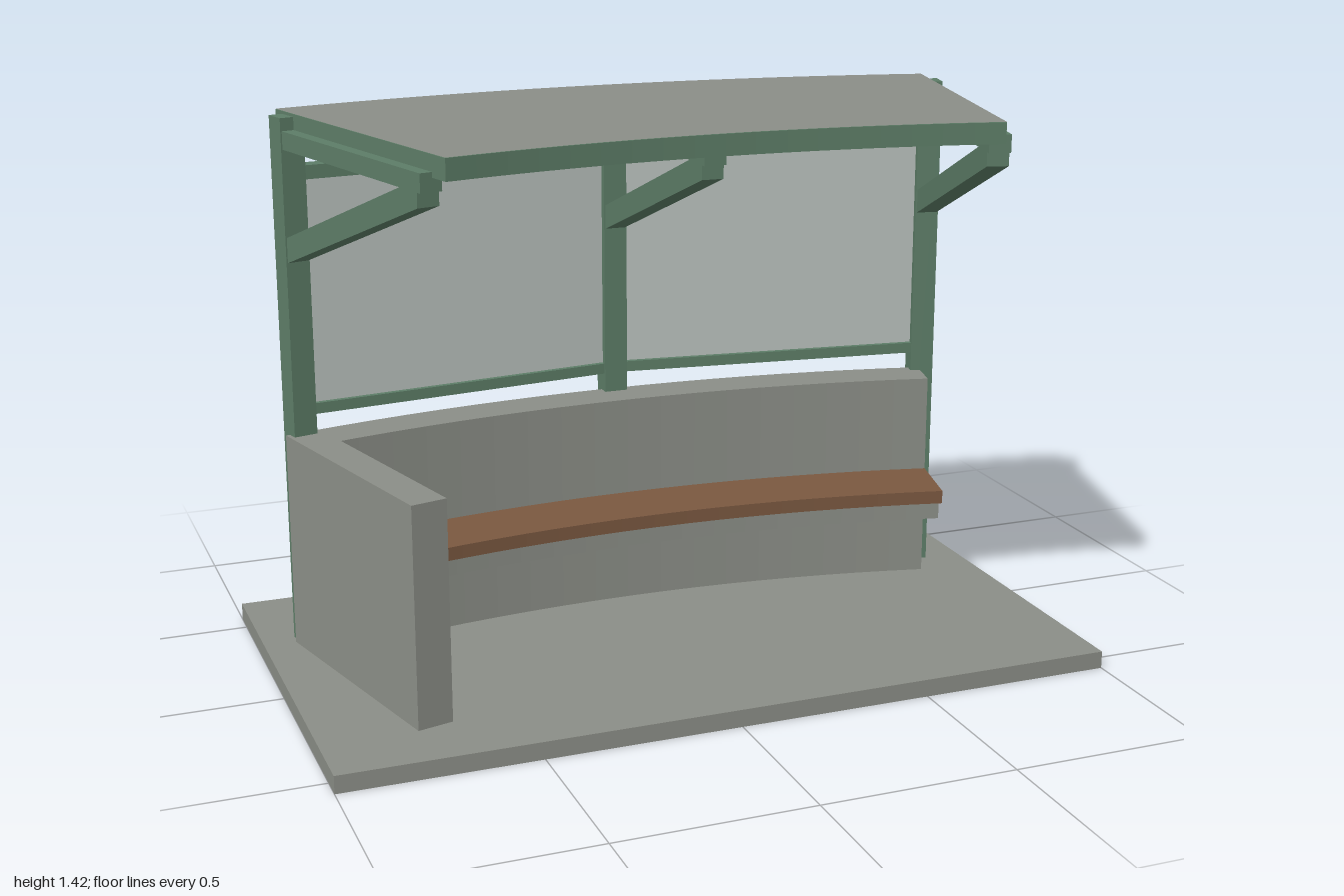
import * as THREE from 'three';

const CENTRE_Z = 3.31;   // centre of the plan arcs
const HALF = 0.24;       // half angle of the shelter
const POST_R = 3.672;
const BASE_TOP = 0.045;

const mat = (name, color) => {
  const m = new THREE.MeshStandardMaterial({ color });
  m.name = name;
  return m;
};

// Plan outline between two radii (shape y is -z)
function sectorShape(r0, r1, steps = 18) {
  const pts = [];
  const add = (r, a) => pts.push(new THREE.Vector2(r * Math.sin(a), r * Math.cos(a) - CENTRE_Z));
  for (let i = 0; i <= steps; i++) add(r0, -HALF + (2 * HALF * i) / steps);
  for (let i = steps; i >= 0; i--) add(r1, -HALF + (2 * HALF * i) / steps);
  return new THREE.Shape(pts);
}

export function createModel() {
  const model = new THREE.Group();
  model.name = 'shelter';
  const concrete = mat('concrete grey', 0x8b8e87);
  const green = mat('painted green', 0x5d7d67);
  const wood = mat('bench wood', 0x7a5840);
  const glass = mat('pale glass', 0xbac2be);

  const addMesh = (parent, name, geometry, material) => {
    const mesh = new THREE.Mesh(geometry, material);
    mesh.name = name;
    parent.add(mesh);
    return mesh;
  };

  // Curved slab from y0 to y1
  const sector = (name, r0, r1, y0, y1, material) => {
    const g = new THREE.ExtrudeGeometry(sectorShape(r0, r1), { depth: y1 - y0, bevelEnabled: false });
    g.rotateX(-Math.PI / 2).translate(0, y0, 0);
    return addMesh(model, name, g, material);
  };

  // Group turned to an angle about the arc centre; outward is local -z
  const station = (name, angle) => {
    const group = new THREE.Group();
    group.name = name;
    group.position.z = CENTRE_Z;
    group.rotation.y = -angle;
    model.add(group);
    return group;
  };

  // Box spanning radii r0..r1 and heights y0..y1 within a station
  const radialBox = (parent, name, width, r0, r1, y0, y1, material) => {
    const g = new THREE.BoxGeometry(width, y1 - y0, r1 - r0);
    g.translate(0, (y0 + y1) / 2, -(r0 + r1) / 2);
    return addMesh(parent, name, g, material);
  };

  // Ground slab
  const slab = new THREE.BoxGeometry(2, BASE_TOP, 1.12);
  slab.translate(0, BASE_TOP / 2, 0);
  addMesh(model, 'baseSlab', slab, concrete);

  // Curved back wall with one return wall
  sector('backWall', 3.55, 3.67, BASE_TOP, 0.605, concrete);
  radialBox(station('returnWallGroup', -HALF), 'returnWall', 0.093, 3.01, 3.67, BASE_TOP, 0.605, concrete);

  // Bench
  sector('benchSupport', 3.385, 3.55, 0.255, 0.31, concrete);
  sector('benchSeat', 3.35, 3.552, 0.31, 0.345, wood);

  // Roof with grey top covering
  sector('roof', 2.89, 3.74, 1.367, 1.419, green);
  const cover = new THREE.ShapeGeometry(sectorShape(2.89, 3.74));
  cover.rotateX(-Math.PI / 2).translate(0, 1.42, 0);
  addMesh(model, 'roofCover', cover, concrete);

  // Posts, each with a roof beam and a diagonal brace
  const braceShape = new THREE.Shape([
    [2.965, 1.3], [3.645, 1.052], [3.645, 1.115], [3.04, 1.337], [2.965, 1.337],
  ].map(([r, y]) => new THREE.Vector2(r, y)));
  for (const [side, angle] of [['right', -0.2412], ['centre', 0], ['left', 0.2412]]) {
    const s = station(side + 'Frame', angle);
    radialBox(s, side + 'Post', 0.0625, POST_R - 0.031, POST_R + 0.031, BASE_TOP, 1.412, green);
    radialBox(s, side + 'RoofBeam', 0.055, 2.95, POST_R - 0.03, 1.335, 1.38, green);
    const brace = new THREE.ExtrudeGeometry(braceShape, { depth: 0.055, bevelEnabled: false });
    brace.translate(0, 0, -0.0275).rotateY(Math.PI / 2);
    addMesh(s, side + 'Brace', brace, green);
  }

  // Straight glazed panels between the posts
  const mid = 0.1206;
  const chordR = POST_R * Math.cos(mid);
  const span = 2 * POST_R * Math.sin(mid) - 0.05;
  for (const [side, angle] of [['right', -mid], ['left', mid]]) {
    const s = station(side + 'Panel', angle);
    radialBox(s, side + 'TopRail', span, chordR - 0.022, chordR + 0.022, 1.255, 1.29, green);
    radialBox(s, side + 'BottomRail', span, chordR - 0.022, chordR + 0.022, 0.655, 0.683, green);
    radialBox(s, side + 'Glass', span, chordR - 0.008, chordR + 0.008, 0.683, 1.255, glass);
  }
  return model;
}
